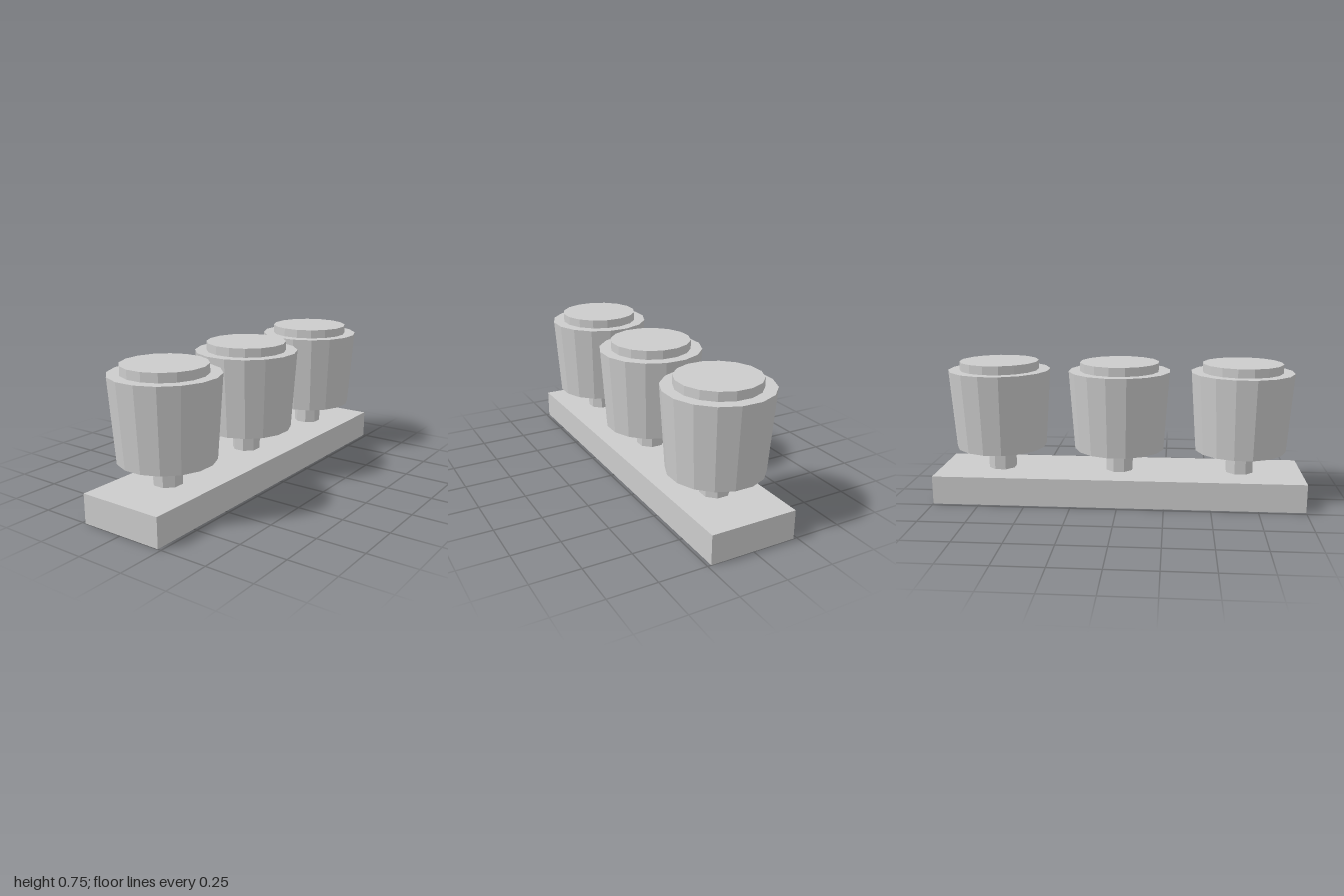
import * as THREE from 'three';

const grey = new THREE.MeshStandardMaterial({ color: 0xcccccc, flatShading: true });
grey.name = 'light grey';

// Faceted drum between two heights, turned so a flat side faces the front
function drum(name, topRadius, bottomRadius, y0, y1, sides) {
  const geometry = new THREE.CylinderGeometry(topRadius, bottomRadius, y1 - y0, sides);
  geometry.rotateY(Math.PI / sides);
  const mesh = new THREE.Mesh(geometry, grey);
  mesh.name = name;
  mesh.position.y = (y0 + y1) / 2;
  return mesh;
}

export function createModel() {
  const model = new THREE.Group();
  model.name = 'threeKnobPanel';

  // Base bar
  const base = new THREE.Mesh(new THREE.BoxGeometry(2, 0.154, 0.462), grey);
  base.name = 'base';
  base.position.y = 0.077;
  model.add(base);

  // Three identical knobs: octagonal stem, tapered body, raised cap
  ['rightKnob', 'middleKnob', 'leftKnob'].forEach((name, i) => {
    const knob = new THREE.Group();
    knob.name = name;
    knob.position.x = (i - 1) * 0.661;
    knob.add(
      drum('stem', 0.077, 0.077, 0.154, 0.28, 8),
      drum('body', 0.277, 0.247, 0.28, 0.708, 16),
      drum('cap', 0.215, 0.215, 0.708, 0.755, 16)
    );
    model.add(knob);
  });

  return model;
}
